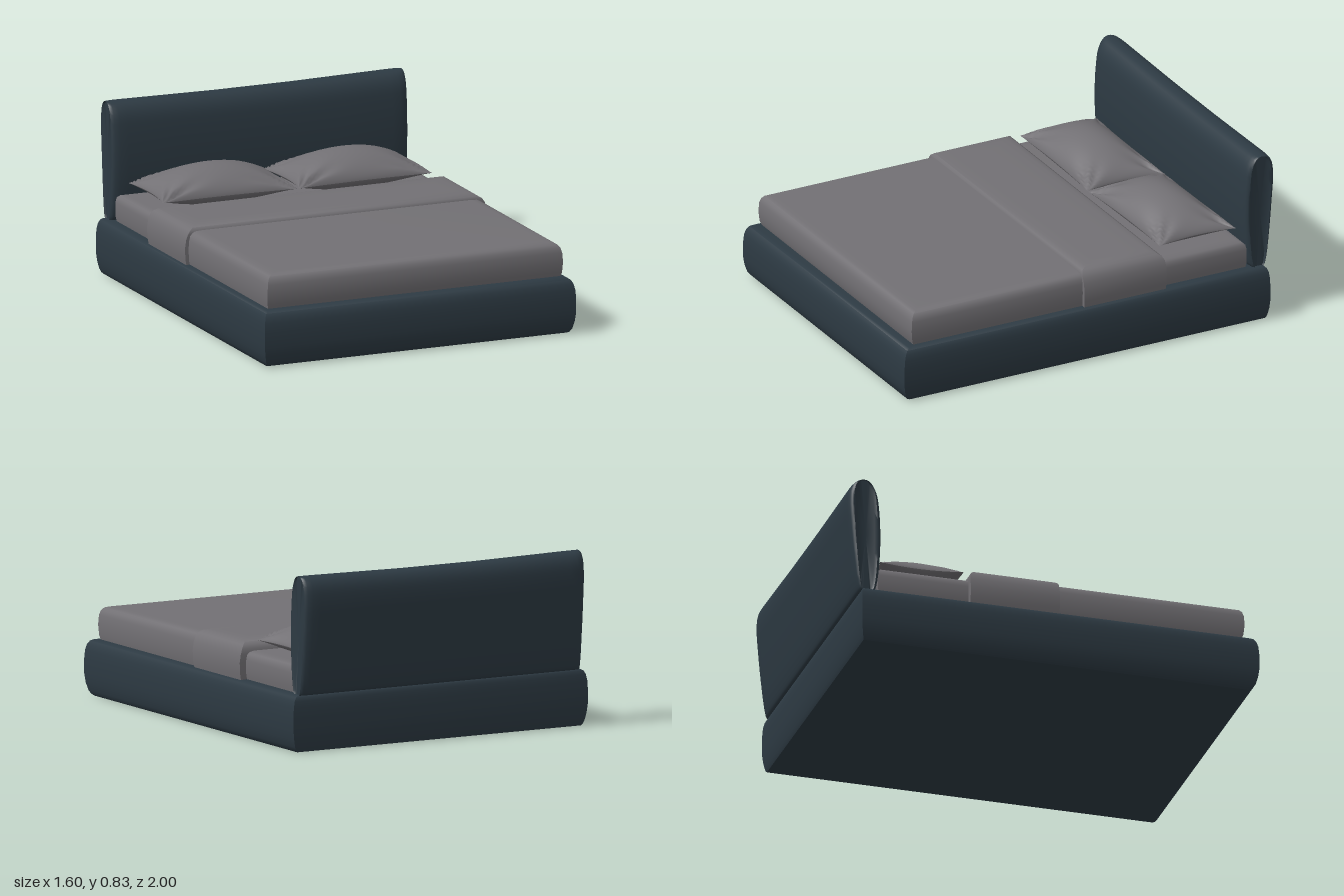
import * as THREE from 'three';
import { mergeGeometries, toCreasedNormals } from 'three/addons/utils/BufferGeometryUtils.js';

// Closed solid through equal-length rings; each ring runs counter-clockwise about the loft direction.
function loft(rings, crease = 0.75) {
  const n = rings[0].length, pos = [], index = [];
  rings.forEach(r => r.forEach(p => pos.push(...p)));
  for (let i = 0; i < rings.length - 1; i++) {
    for (let j = 0; j < n; j++) {
      const a = i * n + j, b = i * n + (j + 1) % n;
      index.push(a, b, b + n, a, b + n, a + n);
    }
  }
  const cap = (start, flip) => {
    const c = pos.length / 3, ring = rings[start / n];
    pos.push(...[0, 1, 2].map(k => ring.reduce((s, p) => s + p[k], 0) / n));
    for (let j = 0; j < n; j++) {
      const a = start + j, b = start + (j + 1) % n;
      index.push(c, flip ? b : a, flip ? a : b);
    }
  };
  cap(0, true);
  cap((rings.length - 1) * n, false);
  const g = new THREE.BufferGeometry();
  g.setAttribute('position', new THREE.Float32BufferAttribute(pos, 3));
  g.setIndex(index);
  return toCreasedNormals(g, crease);
}

// Rectangular slab with mitred corners; each level is [y, halfWidth, backZ, frontZ].
function slab(levels) {
  return loft(levels.map(([y, w, z0, z1]) => [[-w, y, z1], [w, y, z1], [w, y, z0], [-w, y, z0]]));
}

// Upholstered headboard: a padded side profile carried across the width with soft ends.
function headboardGeometry() {
  const outline = [
    [0.835, -0.93], [0.825, -0.892], [0.78, -0.86], [0.7, -0.845], [0.55, -0.838], [0.4, -0.845],
    [0.3, -0.86], [0.268, -0.875], [0.265, -0.91], [0.27, -0.942], [0.31, -0.957], [0.45, -0.977],
    [0.6, -0.992], [0.72, -1], [0.79, -0.992], [0.825, -0.968]
  ].map(([y, z]) => new THREE.Vector3(0, y, z));
  const profile = new THREE.CatmullRomCurve3(outline, true).getPoints(56).slice(0, -1);
  const stations = [
    [-0.752, 0.55], [-0.76, 0.72], [-0.757, 0.82], [-0.745, 0.92], [-0.72, 0.98], [-0.68, 1], [-0.4, 1], [-0.2, 1]
  ];
  const all = [...stations, ...stations.map(([x, s]) => [-x, s]).reverse()];
  return loft(all.map(([x, s]) => {
    const dip = 0.01 * (1 - Math.min(1, Math.abs(x) / 0.7));
    return profile.map(p => [x, p.y - dip * (p.y - 0.27) / 0.56, -0.92 + (p.z + 0.92) * s]);
  }), 0.9);
}

// Plump pillow with pinched edges, pointed corners and faint creases.
function pillowGeometry() {
  const halves = [1, -1].map(side => {
    const g = new THREE.PlaneGeometry(2, 2, 36, 28);
    g.rotateX(-side * Math.PI / 2);
    const p = g.attributes.position;
    for (let i = 0; i < p.count; i++) {
      const u = Math.sin(p.getX(i) * Math.PI / 2), v = Math.sin(p.getZ(i) * Math.PI / 2);
      const puff = Math.pow(Math.max(0, (1 - u * u) * (1 - v * v)), 0.65);
      const corner = Math.pow(Math.abs(u * v), 2);
      const fold = Math.sin(Math.atan2(1.02 - Math.abs(v), 1.02 - Math.abs(u)) * 10);
      const ripple = 0.03 * fold * corner * Math.min(1, puff * 4);
      const y = side > 0 ? 0.455 + 0.117 * puff + ripple : 0.455 - 0.055 * Math.min(1, puff * 1.3);
      const pinchZ = v < 0 ? 0.15 : 0.06;
      p.setXYZ(i,
        0.345 * u * (1 - 0.07 * (1 - v * v)),
        y,
        0.205 * v * (1 - pinchZ * (1 - u * u)));
    }
    g.computeVertexNormals();
    return g;
  });
  return mergeGeometries(halves);
}

export function createModel() {
  const bed = new THREE.Group();
  bed.name = 'bed';
  const upholstery = new THREE.MeshStandardMaterial({ color: 0x2d3a43 });
  upholstery.name = 'dark slate upholstery';
  const linen = new THREE.MeshStandardMaterial({ color: 0x727074 });
  linen.name = 'grey linen';

  const add = (name, geometry, material) => {
    const mesh = new THREE.Mesh(geometry, material);
    mesh.name = name;
    bed.add(mesh);
    return mesh;
  };

  // Padded base with bulging sides
  add('base', slab([
    [0, 0.74, -0.92, 0.92], [0, 0.77, -0.935, 0.955], [0.008, 0.778, -0.938, 0.972], [0.025, 0.786, -0.942, 0.985],
    [0.06, 0.794, -0.947, 0.995], [0.1, 0.799, -0.95, 1], [0.17, 0.8, -0.95, 1], [0.215, 0.797, -0.949, 0.996],
    [0.243, 0.791, -0.946, 0.988], [0.26, 0.782, -0.942, 0.976], [0.268, 0.77, -0.935, 0.96], [0.27, 0.75, -0.92, 0.94]
  ]), upholstery);

  add('headboard', headboardGeometry(), upholstery);

  // Mattress visible under the pillows
  add('mattress', slab([
    [0.262, 0.735, -0.85, -0.05], [0.3, 0.742, -0.855, -0.05], [0.36, 0.742, -0.855, -0.05], [0.385, 0.737, -0.85, -0.05],
    [0.397, 0.725, -0.838, -0.05], [0.402, 0.705, -0.82, -0.05], [0.403, 0.68, -0.8, -0.05]
  ]), linen);

  // Duvet over the foot of the bed
  add('duvet', slab([
    [0.262, 0.75, -0.1, 0.925], [0.29, 0.756, -0.1, 0.935], [0.34, 0.759, -0.1, 0.94], [0.385, 0.756, -0.1, 0.937],
    [0.408, 0.75, -0.1, 0.93], [0.422, 0.738, -0.1, 0.918], [0.428, 0.722, -0.1, 0.9], [0.43, 0.69, -0.1, 0.87]
  ]), linen);

  // Turned-down band across the duvet
  add('duvetFold', slab([
    [0.262, 0.768, -0.408, 0.025], [0.3, 0.775, -0.41, 0.028], [0.35, 0.777, -0.41, 0.028], [0.39, 0.771, -0.41, 0.028],
    [0.415, 0.762, -0.407, 0.028], [0.432, 0.75, -0.398, 0.026], [0.444, 0.732, -0.38, 0.015],
    [0.451, 0.708, -0.35, -0.015], [0.454, 0.67, -0.3, -0.06], [0.455, 0.62, -0.26, -0.1]
  ]), linen);

  // Pair of mirrored pillows
  const pillow = pillowGeometry();
  for (const side of [-1, 1]) {
    const mesh = add(side > 0 ? 'leftPillow' : 'rightPillow', pillow, linen);
    mesh.position.set(side * 0.345, 0, -0.618);
    mesh.rotation.y = side * 0.015;
  }
  return bed;
}
